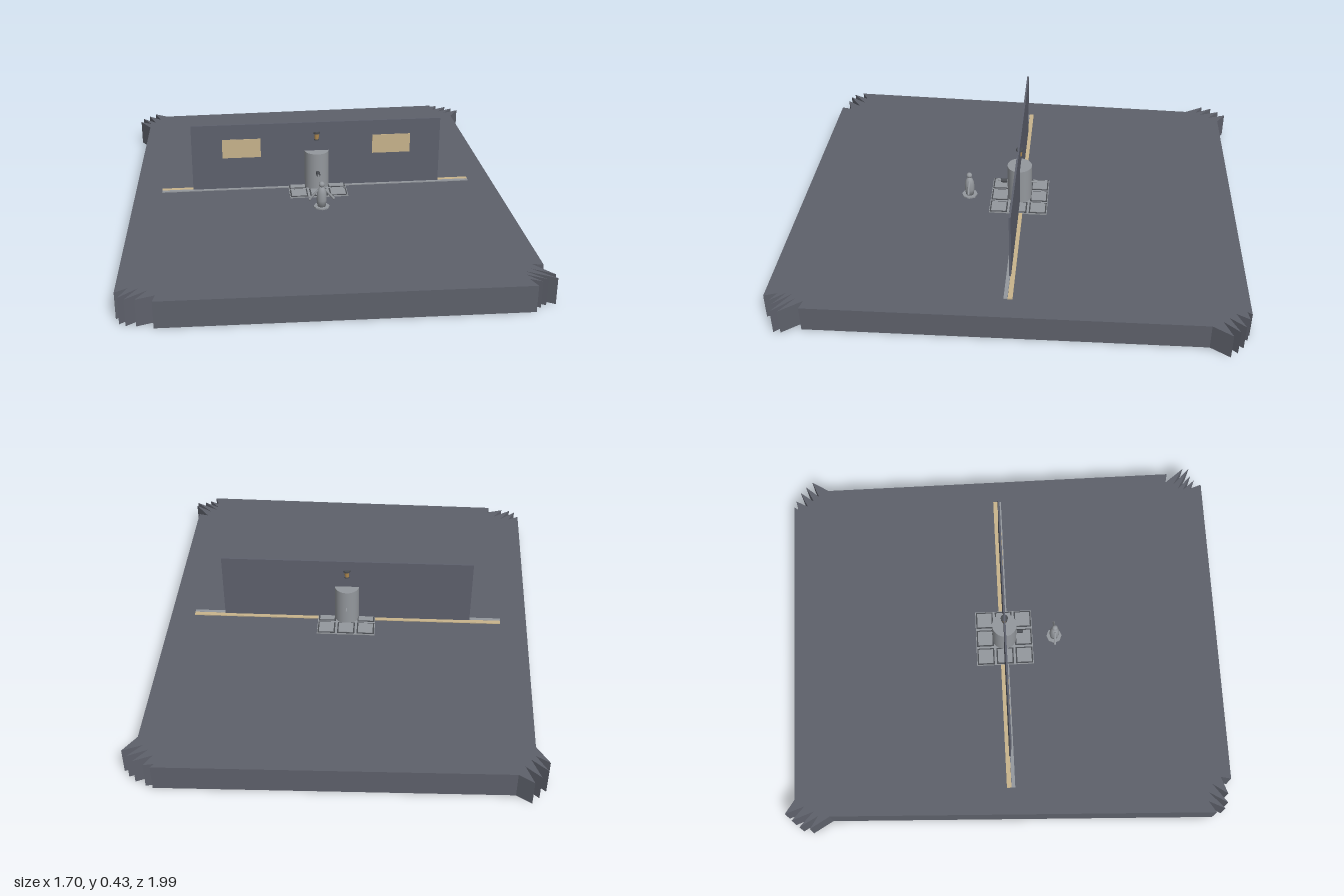
import * as THREE from 'three';

const mat = (name, color, extra = {}) => {
  const m = new THREE.MeshStandardMaterial({ color, ...extra });
  m.name = name;
  return m;
};

export function createModel() {
  const root = new THREE.Group();
  root.name = 'gateDiorama';
  const slabMat = mat('slate', 0x5e616b);
  const wallMat = mat('wallSlate', 0x5e616d);
  const stone = mat('stone', 0x94989d);
  const tan = mat('tan', 0xc8b48c);
  const amber = mat('amber', 0xb08a50);
  const dark = mat('darkMetal', 0x4a4d52);

  const add = (name, geo, material, x = 0, y = 0, z = 0, parent = root) => {
    const m = new THREE.Mesh(geo, material);
    m.name = name;
    m.position.set(x, y, z);
    parent.add(m);
    return m;
  };
  const box = (w, h, d) => new THREE.BoxGeometry(w, h, d);
  const cyl = (a, b, h, n = 24) => new THREE.CylinderGeometry(a, b, h, n);
  // rod between two points
  const rod = (name, a, b, r, material, parent = root) => {
    const A = new THREE.Vector3(...a), B = new THREE.Vector3(...b);
    const m = add(name, cyl(r, r, A.distanceTo(B), 10), material, 0, 0, 0, parent);
    m.position.copy(A).lerp(B, 0.5);
    m.quaternion.setFromUnitVectors(new THREE.Vector3(0, 1, 0), B.sub(A).normalize());
    return m;
  };

  // ground slab with slightly skewed edges and splintered corners (x, z)
  const outline = [
    [-0.79, -0.80], [-0.84, -0.885], [-0.785, -0.85], [-0.83, -0.93], [-0.765, -0.87],
    [-0.80, -0.965], [-0.74, -0.91], [-0.77, -0.995], [-0.71, -0.955],
    [0.72, -0.985], [0.705, -0.965], [0.75, -0.975], [0.72, -0.92], [0.795, -0.955],
    [0.745, -0.89], [0.825, -0.93], [0.77, -0.865], [0.85, -0.90], [0.80, -0.82],
    [0.815, 0.835], [0.77, 0.825], [0.84, 0.915], [0.755, 0.86], [0.84, 0.945], [0.73, 0.88],
    [0.80, 0.95], [0.725, 0.905], [0.775, 0.965], [0.73, 0.94], [0.75, 0.995],
    [-0.705, 0.97], [-0.695, 0.925], [-0.77, 0.95], [-0.725, 0.885], [-0.81, 0.945],
    [-0.76, 0.865], [-0.835, 0.93], [-0.80, 0.86], [-0.85, 0.89],
  ];
  const shape = new THREE.Shape(outline.map(([x, z]) => new THREE.Vector2(x, -z)));
  const slab = new THREE.ExtrudeGeometry(shape, { depth: 0.115, bevelEnabled: false });
  slab.rotateX(-Math.PI / 2);
  add('groundSlab', slab, slabMat);

  // threshold strips along the wall foot
  add('backStrip', box(1.4, 0.005, 0.02), tan, 0, 0.1165, -0.011);
  add('frontStrip', box(1.4, 0.005, 0.016), stone, 0, 0.1165, 0.008);

  // wall with two lit windows on its front
  add('wall', box(1.12, 0.31, 0.008), wallMat, 0, 0.27, 0);
  for (const s of [-1, 1]) add('window', box(0.172, 0.088, 0.003), tan, s * 0.338, 0.312, 0.005);

  // paved plinth with raised tiles
  const plinth = new THREE.Group();
  plinth.name = 'plinth';
  root.add(plinth);
  add('plate', box(0.26, 0.006, 0.26), stone, 0, 0.117, 0, plinth);
  for (let i = -1; i <= 1; i++)
    for (let j = -1; j <= 1; j++) {
      if (!i && !j) continue;
      add('tileJoint', box(0.078, 0.002, 0.078), dark, i * 0.088, 0.1205, j * 0.088, plinth);
      add('tile', box(0.066, 0.005, 0.066), stone, i * 0.088, 0.1215, j * 0.088, plinth);
    }

  // round pillar with a through-bar and knob
  add('pillar', cyl(0.055, 0.055, 0.17, 24), stone, 0, 0.205, 0);
  rod('throughBar', [0, 0.203, -0.078], [0, 0.203, 0.1], 0.004, stone);
  rod('knob', [0, 0.203, 0.058], [0, 0.203, 0.085], 0.009, dark);

  // lantern on the wall centre
  const lantern = new THREE.Group();
  lantern.name = 'lantern';
  lantern.position.set(0, 0.358, 0);
  root.add(lantern);
  add('lampGlass', cyl(0.012, 0.01, 0.03, 12), amber, 0, 0, 0, lantern);
  add('lampCap', cyl(0.016, 0.016, 0.008, 12), dark, 0, 0.017, 0, lantern);
  add('lampBase', cyl(0.012, 0.012, 0.004, 12), dark, 0, -0.016, 0, lantern);

  // standing figure in front of the pillar
  const figure = new THREE.Group();
  figure.name = 'figure';
  figure.position.set(0, 0.115, 0.23);
  root.add(figure);
  add('figureBase', cyl(0.035, 0.035, 0.006, 8), stone, 0, 0.003, 0, figure);
  const profile = [[0, 0.005], [0.018, 0.005], [0.022, 0.035], [0.021, 0.07], [0.014, 0.088], [0.006, 0.095], [0, 0.096]];
  add('torso', new THREE.LatheGeometry(profile.map(p => new THREE.Vector2(...p)), 16), stone, 0, 0, 0, figure);
  add('head', new THREE.SphereGeometry(0.013, 16, 12), stone, 0, 0.108, 0, figure);
  for (const s of [-1, 1]) {
    rod('arm', [s * 0.014, 0.084, 0], [s * 0.052, 0.04, 0], 0.005, stone, figure);
    add('hand', new THREE.SphereGeometry(0.006, 10, 8), stone, s * 0.052, 0.04, 0, figure);
  }
  return root;
}
